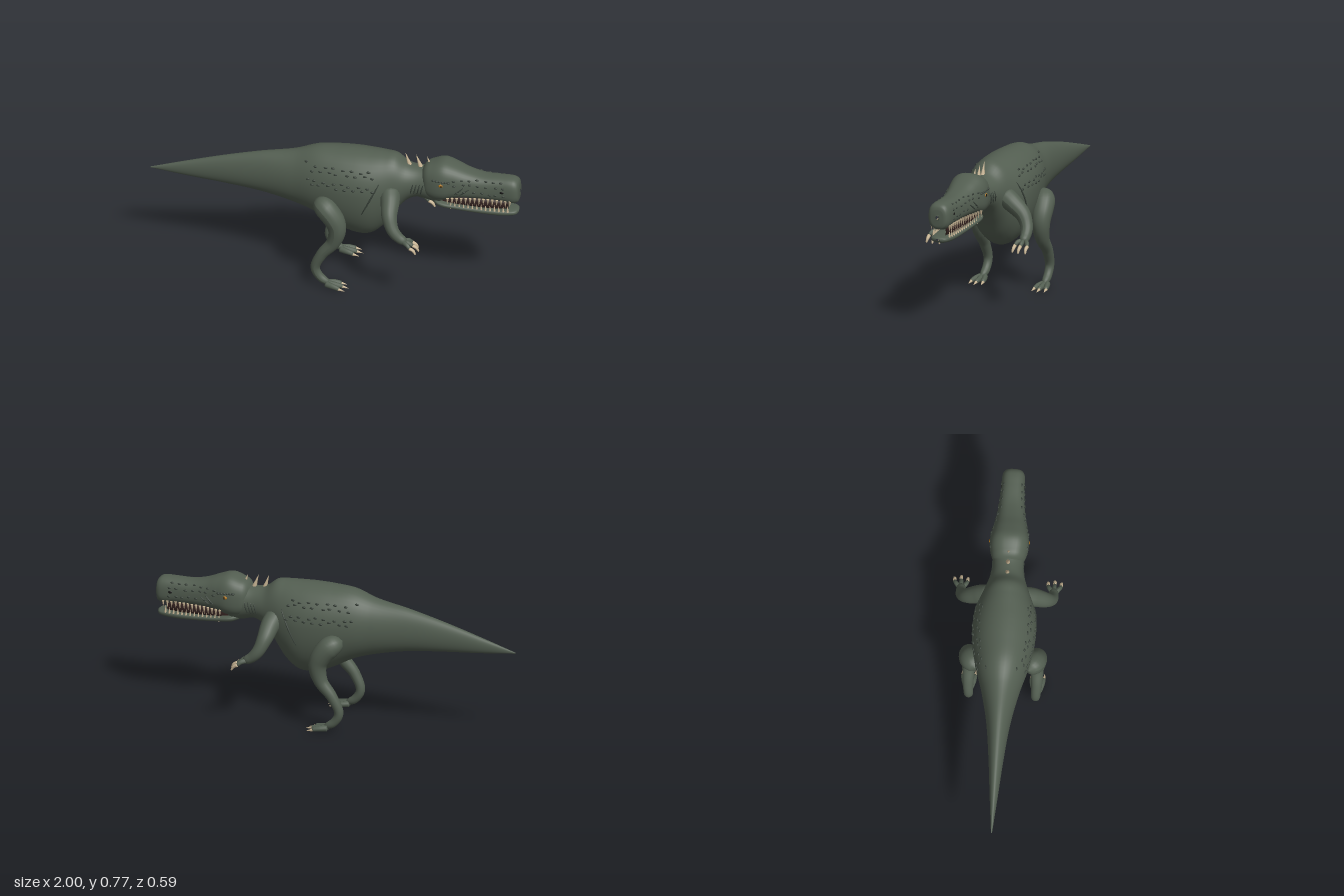
import * as THREE from 'three';

const mat = (name, color) => Object.assign(new THREE.MeshStandardMaterial({ color }), { name });
const V = (x, y, z) => new THREE.Vector3(x, y, z);

// Sections: [x, top, bottom, height of widest point, half width]
const BODY = [
  [-1, 0.51, 0.504, 0.507, 0.003], [-0.8, 0.573, 0.482, 0.53, 0.022], [-0.6, 0.632, 0.465, 0.55, 0.04],
  [-0.4, 0.682, 0.443, 0.56, 0.064], [-0.22, 0.716, 0.405, 0.565, 0.102], [-0.1, 0.756, 0.365, 0.57, 0.137],
  [0.02, 0.765, 0.3, 0.57, 0.162], [0.12, 0.767, 0.266, 0.565, 0.17], [0.2, 0.765, 0.272, 0.56, 0.165],
  [0.27, 0.763, 0.33, 0.57, 0.145], [0.33, 0.757, 0.42, 0.59, 0.12], [0.39, 0.713, 0.495, 0.605, 0.097],
  [0.45, 0.702, 0.525, 0.61, 0.083], [0.52, 0.705, 0.51, 0.61, 0.084], [0.58, 0.69, 0.505, 0.6, 0.08],
  [0.62, 0.65, 0.53, 0.59, 0.03],
];
const SKULL = [
  [0.46, 0.67, 0.6, 0.635, 0.02], [0.49, 0.722, 0.56, 0.63, 0.075], [0.53, 0.743, 0.535, 0.63, 0.096],
  [0.59, 0.76, 0.535, 0.63, 0.104], [0.65, 0.743, 0.553, 0.63, 0.094], [0.72, 0.715, 0.56, 0.62, 0.08],
  [0.8, 0.697, 0.56, 0.62, 0.069], [0.9, 0.697, 0.555, 0.62, 0.062], [0.96, 0.696, 0.548, 0.62, 0.061],
  [0.985, 0.686, 0.555, 0.62, 0.054], [0.997, 0.665, 0.57, 0.62, 0.038], [1, 0.63, 0.61, 0.62, 0.008],
];
const JAW = [
  [0.52, 0.545, 0.515, 0.53, 0.03], [0.57, 0.54, 0.498, 0.525, 0.078], [0.66, 0.525, 0.487, 0.51, 0.074],
  [0.8, 0.517, 0.474, 0.5, 0.066], [0.9, 0.513, 0.47, 0.498, 0.06], [0.96, 0.512, 0.475, 0.498, 0.05],
  [0.985, 0.51, 0.482, 0.497, 0.036], [0.995, 0.503, 0.492, 0.497, 0.01],
];
const MOUTH = [
  [0.56, 0.57, 0.5, 0.53, 0.055], [0.7, 0.575, 0.5, 0.53, 0.05], [0.85, 0.57, 0.495, 0.53, 0.043],
  [0.94, 0.56, 0.5, 0.53, 0.025],
];

// Smooth section values at any x
function sample(s, x) {
  let i = 0;
  while (i < s.length - 2 && x > s[i + 1][0]) i++;
  const a = s[i], b = s[i + 1], p = s[Math.max(i - 1, 0)], q = s[Math.min(i + 2, s.length - 1)];
  const h = b[0] - a[0], t = (x - a[0]) / h;
  return a.map((_, k) => {
    if (k === 0) return x;
    const ma = (b[k] - p[k]) / (b[0] - p[0]) * h, mb = (q[k] - a[k]) / (q[0] - a[0]) * h;
    return (2 * t ** 3 - 3 * t * t + 1) * a[k] + (t ** 3 - 2 * t * t + t) * ma
      + (3 * t * t - 2 * t ** 3) * b[k] + (t ** 3 - t * t) * mb;
  });
}

// Half width of a lofted surface at (x, y), with superellipse power n
function sideZ(s, x, y, n) {
  const [, top, bot, mid, w] = sample(s, x);
  const f = Math.min(1, Math.abs((y - mid) / ((y > mid ? top : bot) - mid)));
  return w * (1 - f ** n) ** (1 / n);
}

function loft(s, n, sides = 40, sub = 5) {
  const pos = [], idx = [], rings = (s.length - 1) * sub + 1;
  for (let i = 0; i < rings; i++) {
    const k = Math.min(Math.floor(i / sub), s.length - 2), f = i / sub - k;
    const [x, top, bot, mid, w] = sample(s, s[k][0] + (s[k + 1][0] - s[k][0]) * f);
    for (let j = 0; j < sides; j++) {
      const a = j / sides * Math.PI * 2, c = Math.cos(a), d = Math.sin(a);
      const py = Math.abs(d) ** (2 / n) * (d > 0 ? top - mid : bot - mid);
      pos.push(x, mid + py, Math.sign(c) * Math.abs(c) ** (2 / n) * w);
      if (i < rings - 1) {
        const p = i * sides + j, q = i * sides + (j + 1) % sides;
        idx.push(p, p + sides, q, q, p + sides, q + sides);
      }
    }
  }
  for (const [base, flip] of [[0, false], [(rings - 1) * sides, true]]) {
    for (let j = 1; j < sides - 1; j++) idx.push(base, base + (flip ? j : j + 1), base + (flip ? j + 1 : j));
  }
  const g = new THREE.BufferGeometry();
  g.setAttribute('position', new THREE.Float32BufferAttribute(pos, 3));
  g.setIndex(idx);
  g.computeVertexNormals();
  return g;
}

// Tube whose radius follows a list, with rounded ends
function limb(points, radii, seg = 36, sides = 18) {
  const curve = new THREE.CatmullRomCurve3(points.map(p => V(...p)));
  const g = new THREE.TubeGeometry(curve, seg, 1, sides), pos = g.attributes.position, v = V(0, 0, 0);
  for (let i = 0; i <= seg; i++) {
    const u = i / seg, c = curve.getPointAt(u), f = u * (radii.length - 1);
    const k = Math.min(Math.floor(f), radii.length - 2);
    const e = Math.min(1, Math.min(u, 1 - u) / 0.09);
    const r = THREE.MathUtils.lerp(radii[k], radii[k + 1], f - k) * Math.sqrt(1 - (1 - e) ** 2);
    for (let j = 0; j <= sides; j++) {
      const n = i * (sides + 1) + j;
      v.fromBufferAttribute(pos, n).sub(c).multiplyScalar(r).add(c);
      pos.setXYZ(n, v.x, v.y, v.z);
    }
  }
  g.computeVertexNormals();
  return g;
}

function spike(from, to, r, sides = 10) {
  const a = V(...from), d = V(...to).sub(a), len = d.length();
  return new THREE.ConeGeometry(r, len, sides).translate(0, len / 2, 0)
    .applyQuaternion(new THREE.Quaternion().setFromUnitVectors(V(0, 1, 0), d.normalize()))
    .translate(a.x, a.y, a.z);
}

const blob = (x, y, z, rx, ry, rz) => new THREE.SphereGeometry(1, 12, 8).scale(rx, ry, rz).translate(x, y, z);

export function createModel() {
  const hide = mat('hide', 0x535e51), scale = mat('dark scales', 0x39423a), bone = mat('bone', 0xc6b393);
  const amber = mat('amber', 0xb87a1e), black = mat('black', 0x141513), flesh = mat('mouth', 0x30201e);
  const model = new THREE.Group();
  const add = (name, geo, m, parent = model) => {
    const mesh = new THREE.Mesh(geo, m);
    mesh.name = name;
    parent.add(mesh);
  };

  add('body', loft(BODY, 2), hide);
  add('skull', loft(SKULL, 2.6), hide);
  add('lowerJaw', loft(JAW, 2.4), hide);
  add('mouthLining', loft(MOUTH, 2.4, 20), flesh);

  // Neck spikes lean backward
  for (const [x, tip] of [[0.405, 0.775], [0.463, 0.77], [0.522, 0.765]]) {
    add('neckSpike', spike([x, 0.69, 0], [x - 0.027, tip, 0], 0.014), bone);
  }

  for (const s of [1, -1]) {
    const side = new THREE.Group();
    side.name = s > 0 ? 'nearSide' : 'farSide';
    model.add(side);
    const put = (name, geo, m) => add(name, geo, m, side);
    const m = pts => pts.map(([x, y, z]) => [x, y, z * s]);

    // Leg, toes and toe claws
    put('leg', limb(m([[-0.08, 0.51, 0.14], [-0.01, 0.47, 0.172], [0.045, 0.38, 0.18], [0.03, 0.285, 0.18],
      [-0.035, 0.2, 0.182], [-0.072, 0.11, 0.178], [-0.045, 0.055, 0.178], [0.01, 0.022, 0.18]]),
    [0.045, 0.06, 0.055, 0.046, 0.036, 0.03, 0.026, 0.023, 0.022], 54), hide);
    for (const t of [-1, 0, 1]) {
      const z = 0.182 + t * 0.033, x = t ? 0.068 : 0.082;
      put('toe', limb(m([[-0.015, 0.022, 0.181 + t * 0.008], [0.03, 0.019, 0.181 + t * 0.025], [x, 0.012, z]]),
        [0.018, 0.015, 0.011], 14, 12), hide);
      put('toeClaw', spike([x - 0.008, 0.012, z * s], [x + 0.03, 0.004, (z + t * 0.003) * s], 0.009), bone);
    }

    // Arm, fingers and finger claws
    put('arm', limb(m([[0.31, 0.585, 0.075], [0.325, 0.545, 0.14], [0.335, 0.49, 0.205], [0.36, 0.43, 0.237],
      [0.395, 0.392, 0.244], [0.44, 0.368, 0.246]]), [0.055, 0.052, 0.045, 0.036, 0.03, 0.022]), hide);
    for (const t of [-1, 0, 1]) {
      const z = 0.248 + t * 0.035, x = t ? 0.462 : 0.472;
      put('finger', limb(m([[0.42, 0.375, 0.246 + t * 0.008], [0.445, 0.37, 0.247 + t * 0.027], [x, 0.354, z]]),
        [0.014, 0.012, 0.01], 12, 10), hide);
      put('fingerClaw', limb(m([[x - 0.006, 0.358, z], [x + 0.018, 0.345, z], [x + 0.032, 0.322, z + t * 0.003]]),
        [0.01, 0.009, 0.004], 12, 10), bone);
    }

    // Upper and lower teeth
    for (let i = 0; i < 15; i++) {
      const x = 0.625 + i * 0.0235, long = i % 3 === 1 ? 0.006 : 0;
      const zu = (sample(SKULL, x)[4] - 0.01) * s, zl = (sample(JAW, x)[4] - 0.01) * s;
      put('upperTooth', spike([x, 0.574, zu], [x - 0.002, 0.537 - long, zu], 0.0075, 8), bone);
      if (i < 14) put('lowerTooth', spike([x + 0.011, 0.503, zl], [x + 0.01, 0.538 + long, zl], 0.007, 8), bone);
    }

    // Eye with pupil, lid and brow bumps
    put('eyeSocket', blob(0.587, 0.653, 0.095 * s, 0.022, 0.015, 0.008), black);
    put('eye', blob(0.59, 0.653, 0.099 * s, 0.012, 0.011, 0.01), amber);
    put('pupil', blob(0.594, 0.653, 0.107 * s, 0.003, 0.008, 0.003), black);
    for (let i = 0; i < 6; i++) {
      put('browBump', blob(0.55 + i * 0.016, 0.677 - i * 0.001, 0.094 * s, 0.011, 0.007, 0.01), scale);
    }
    put('nostril', blob(0.912, 0.627, 0.0605 * s, 0.012, 0.007, 0.004), black);

    // Flank and snout scales
    let seed = 7;
    const rnd = () => (seed = (seed * 16807) % 2147483647) / 2147483647 - 0.5;
    const bump = (name, sec, x, y, n, r) => put(name,
      blob(x, y, sideZ(sec, x, y, n) * s, r * 1.35, r * 0.8, r * 0.65), scale);
    [0.695, 0.672, 0.622, 0.602].forEach((y, row) => {
      for (let i = 0; i < 8; i++) {
        bump('flankScale', BODY, -0.13 + i * 0.048 + row % 2 * 0.022 + rnd() * 0.02, y + rnd() * 0.016, 2, 0.008);
      }
    });
    [0.68, 0.655, 0.61].forEach((y, row) => {
      for (let i = 0; i < 7; i++) {
        bump('snoutScale', SKULL, 0.65 + i * 0.042 + row * 0.012 + rnd() * 0.015, y + rnd() * 0.014, 2.6, 0.007);
      }
    });

    // Scars and neck folds lie on the skin
    const crease = (name, sec, n, x0, y0, x1, y1, r) => {
      const pts = [];
      for (let i = 0; i <= 6; i++) {
        const x = x0 + (x1 - x0) * i / 6, y = y0 + (y1 - y0) * i / 6;
        pts.push([x, y, sideZ(sec, x, y, n) * s]);
      }
      put(name, limb(pts, [r * 0.5, r, r * 0.5], 20, 8), scale);
    };
    crease('flankScar', BODY, 2, 0.17, 0.45, 0.265, 0.645, 0.005);
    for (let i = 0; i < 4; i++) {
      crease('neckFold', BODY, 2, 0.42 + i * 0.018, 0.57, 0.437 + i * 0.018, 0.635, 0.004);
    }
    crease('cheekScar', SKULL, 2.6, 0.66, 0.6, 0.71, 0.645, 0.004);
    crease('cheekScar', SKULL, 2.6, 0.685, 0.595, 0.74, 0.635, 0.004);
  }
  return model;
}
